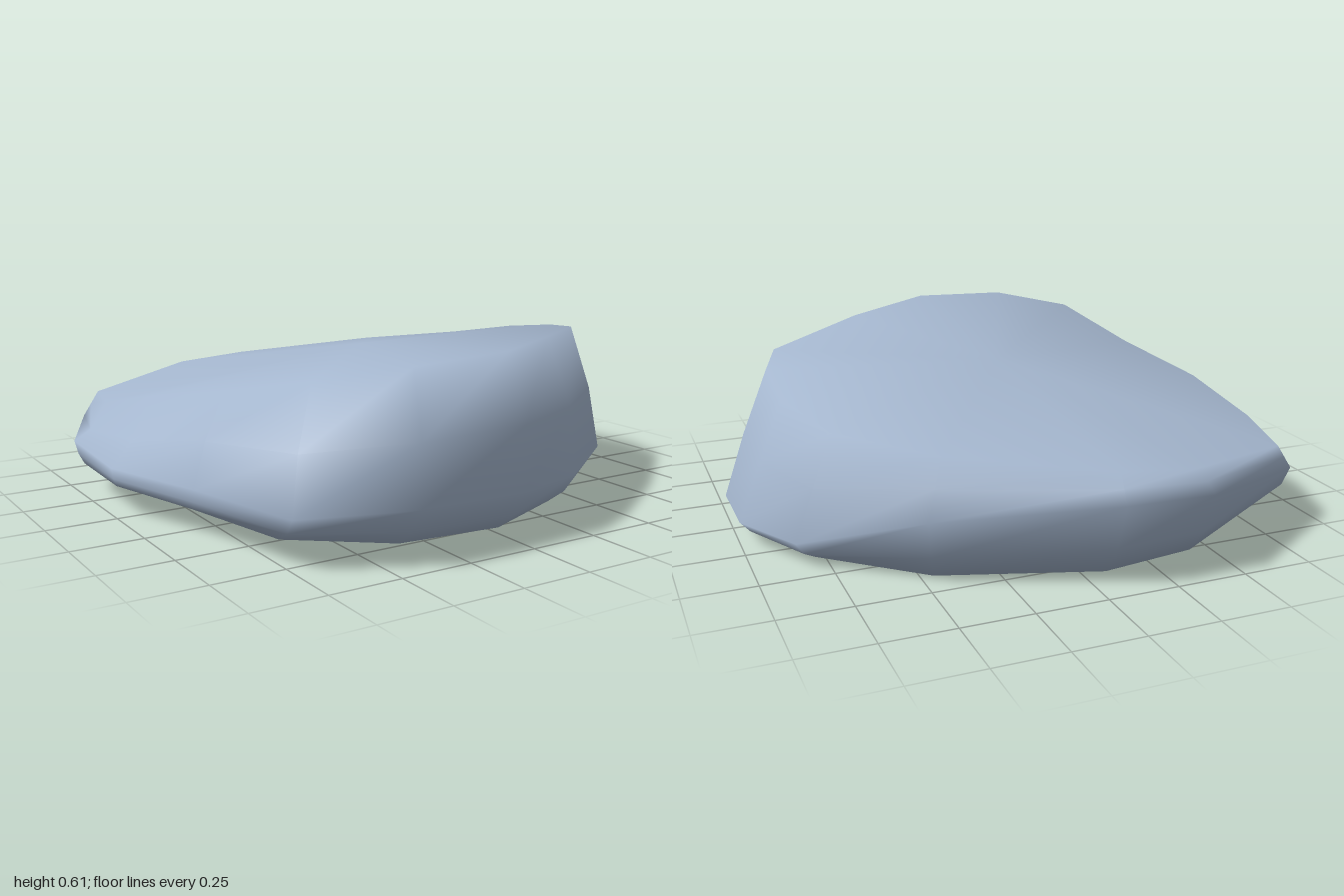
import * as THREE from 'three';
import { mergeVertices } from 'three/addons/utils/BufferGeometryUtils.js';

// Columns around the stone: widest point x, z, y, then top-edge point x, z, y
const COLUMNS = [
  [-0.38, -0.98, 0.29, -0.36, -0.91, 0.36],
  [-0.06, -0.985, 0.30, -0.08, -0.90, 0.38],
  [0.50, -0.73, 0.23, 0.44, -0.68, 0.43],
  [0.86, -0.42, 0.09, 0.73, -0.43, 0.465],
  [1.00, -0.17, 0.09, 0.83, -0.16, 0.515],
  [1.00, 0.13, 0.08, 0.83, 0.10, 0.55],
  [0.89, 0.34, 0.08, 0.76, 0.30, 0.57],
  [0.42, 0.72, 0.12, 0.36, 0.62, 0.60],
  [0.00, 0.94, 0.17, 0.00, 0.85, 0.61],
  [-0.42, 0.98, 0.19, -0.37, 0.86, 0.595],
  [-0.76, 0.81, 0.17, -0.63, 0.70, 0.55],
  [-0.87, 0.36, 0.17, -0.73, 0.30, 0.465],
  [-1.00, -0.04, 0.17, -0.84, -0.07, 0.40],
  [-0.99, -0.46, 0.18, -0.88, -0.41, 0.325],
  [-0.87, -0.70, 0.22, -0.81, -0.70, 0.31],
];

// Underside height, curving up towards both thin ends
function underside(x) {
  const t = Math.max(0.5 - x, 0);
  return 0.03 * t + 0.028 * t * t + 0.1 * Math.max(x - 0.7, 0);
}

// Points of one column, from the middle of the underside to the middle of the top
function columnPoints([x, z, y, tx, tz, ty]) {
  const wide = new THREE.Vector3(x, y, z);
  const top = new THREE.Vector3(tx, ty, tz);
  const crown = new THREE.Vector3(-0.02, 0.528, 0);
  const baseX = x * (x < 0 ? 0.985 : 0.91);
  const base = new THREE.Vector3(baseX, underside(baseX), z * 0.87);
  // The underside is slightly hollow
  const innerBase = new THREE.Vector3(x * 0.55, underside(x * 0.55) + 0.018, z * 0.55);
  const baseCentre = new THREE.Vector3(0, 0.045, 0);
  const low = base.clone().lerp(wide, 0.6);
  low.y = THREE.MathUtils.lerp(base.y, y, 0.4);
  // The wall bulges at the front and sags at the thin left-hand edge
  const wall = wide.clone().lerp(top, 0.5);
  const bulge = 1 + 0.06 * Math.max(z, 0);
  wall.x *= bulge;
  wall.z *= bulge;
  if (x < -0.95) wall.y -= 0.03;
  return [baseCentre, innerBase, base, low, wide, wall, top, crown];
}

function stoneGeometry() {
  const columns = COLUMNS.map(columnPoints);
  const rows = columns[0].length;
  const positions = columns.flat().flatMap((p) => p.toArray());
  const index = [];
  for (let k = 0; k < columns.length; k++) {
    const next = (k + 1) % columns.length;
    for (let i = 0; i < rows - 1; i++) {
      const a = k * rows + i;
      const b = next * rows + i;
      // One triangle at each centre, two elsewhere
      if (i > 0) index.push(a, a + 1, b);
      if (i < rows - 2) index.push(b, a + 1, b + 1);
    }
  }
  const geometry = new THREE.BufferGeometry();
  geometry.setAttribute('position', new THREE.Float32BufferAttribute(positions, 3));
  geometry.setIndex(index);
  const merged = mergeVertices(geometry, 1e-4);
  merged.computeVertexNormals();
  return merged;
}

export function createModel() {
  const slate = new THREE.MeshStandardMaterial({ color: 0xa6b8d0 });
  slate.name = 'slate blue stone';

  const stone = new THREE.Mesh(stoneGeometry(), slate);
  stone.name = 'stone';

  const model = new THREE.Group();
  model.name = 'flat rock';
  model.add(stone);
  return model;
}
